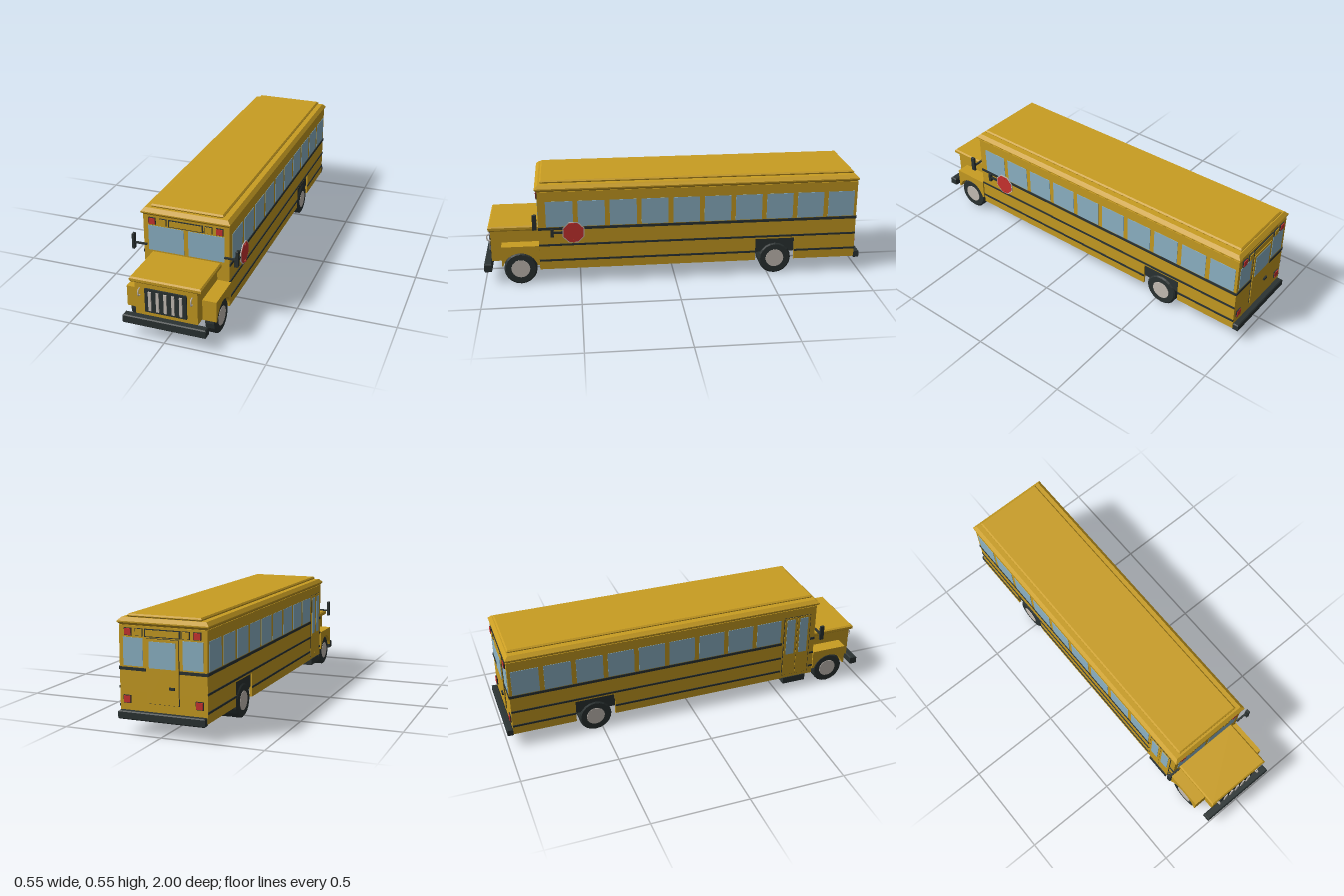
import * as THREE from 'three';

const mat = (name, color) => Object.assign(new THREE.MeshStandardMaterial({ color }), { name });

export function createModel() {
  const yellow = mat('yellow paint', 0xc99d22);
  const dark = mat('charcoal', 0x2b3333);
  const glass = mat('glass', 0x8eb5c8);
  const red = mat('red', 0xcc3330);
  const silver = mat('silver', 0xc9c1b9);

  const bus = new THREE.Group();
  bus.name = 'schoolBus';

  const add = (name, geo, material, parent = bus) => {
    const m = new THREE.Mesh(geo, material);
    m.name = name;
    parent.add(m);
    return m;
  };
  // box from its minimum and maximum on each axis
  const box = (name, material, x0, x1, y0, y1, z0, z1) => add(name,
    new THREE.BoxGeometry(x1 - x0, y1 - y0, z1 - z0)
      .translate((x0 + x1) / 2, (y0 + y1) / 2, (z0 + z1) / 2), material);
  // box whose upper and lower rims are chamfered by b
  const chamferBox = (name, material, x0, x1, y0, y1, z0, z1, b) => {
    const s = new THREE.Shape();
    s.moveTo(x0 + b, -z1 + b).lineTo(x1 - b, -z1 + b).lineTo(x1 - b, -z0 - b).lineTo(x0 + b, -z0 - b).closePath();
    const g = new THREE.ExtrudeGeometry(s, {
      depth: y1 - y0 - 2 * b, bevelEnabled: true, bevelSize: b, bevelThickness: b, bevelSegments: 1,
    });
    return add(name, g.rotateX(-Math.PI / 2).translate(0, y0 + b, 0), material);
  };
  const BACK = -0.97, FRONT = 0.71, W = 0.22;
  const archA = -0.64, archB = -0.43;

  // body shell, split around the rear wheel wells
  box('upperBody', yellow, -W, W, 0.2, 0.505, BACK, FRONT);
  box('lowerBodyFront', yellow, -W, W, 0.13, 0.2, archB, FRONT);
  box('lowerBodyRear', yellow, -W, W, 0.13, 0.2, BACK, archA);
  box('rearWheelWell', dark, -0.212, 0.212, 0.132, 0.2, archA, archB);
  box('floor', dark, -0.208, 0.208, 0.122, 0.131, BACK + 0.01, FRONT - 0.01);
  box('frontSkirt', yellow, -W, W, 0.08, 0.13, FRONT - 0.01, FRONT);
  box('backSkirt', yellow, -W, W, 0.08, 0.13, BACK, BACK + 0.01);

  // roof
  chamferBox('roof', yellow, -0.228, 0.228, 0.5, 0.54, BACK - 0.005, 0.722, 0.017);
  chamferBox('roofCap', yellow, -0.186, 0.186, 0.538, 0.555, -0.955, 0.695, 0.007);

  // hood, grille and bumpers
  box('hood', yellow, -0.157, 0.157, 0.112, 0.29, FRONT, 0.962);
  chamferBox('hoodLid', yellow, -0.18, 0.18, 0.283, 0.31, FRONT - 0.005, 0.972, 0.007);
  box('grille', dark, -0.105, 0.105, 0.135, 0.26, 0.955, 0.97);
  for (let i = -2; i <= 2; i++)
    box('grilleBar', silver, i * 0.039 - 0.007, i * 0.039 + 0.007, 0.147, 0.248, 0.965, 0.976);
  chamferBox('frontBumper', dark, -0.21, 0.21, 0.07, 0.115, 0.96, 1, 0.005);
  chamferBox('rearBumper', dark, -0.218, 0.218, 0.07, 0.11, -1, -0.968, 0.005);

  // entry step under the door
  box('entryStep', dark, -0.225, -0.135, 0.045, 0.082, 0.535, 0.667);
  box('entryStepMount', dark, -0.208, -0.145, 0.08, 0.125, 0.545, 0.657);

  // wheels: single in front, dual at the rear
  const tireProfile = [[0.045, -0.0275], [0.078, -0.0275], [0.086, -0.021], [0.086, 0.021], [0.078, 0.0275], [0.045, 0.0275]]
    .map(([r, y]) => new THREE.Vector2(r, y));
  const wheel = (x, z, side) => {
    const g = new THREE.Group();
    g.name = 'wheel';
    const tire = new THREE.LatheGeometry(tireProfile, 20).toNonIndexed();
    tire.computeVertexNormals();
    add('tire', tire.rotateZ(-Math.PI / 2), dark, g);
    add('hub', new THREE.CylinderGeometry(0.05, 0.05, 0.05, 20).rotateZ(Math.PI / 2), silver, g);
    add('hubCap', new THREE.CylinderGeometry(0.048, 0.05, 0.004, 20).rotateZ(-side * Math.PI / 2)
      .translate(side * 0.027, 0, 0), silver, g);
    g.position.set(side * x, 0.087, z);
    bus.add(g);
  };

  // fender side profile with a round wheel opening
  const fenderShape = new THREE.Shape();
  fenderShape.moveTo(0.71, 0.11).lineTo(0.71, 0.215).lineTo(0.905, 0.215).lineTo(0.905, 0.108);
  const a0 = Math.asin(0.021 / 0.091);
  fenderShape.absarc(0.81, 0.087, 0.091, a0, Math.PI - a0, false);
  const fender = new THREE.ExtrudeGeometry(fenderShape, { depth: 0.078, bevelEnabled: false, curveSegments: 16 })
    .rotateY(-Math.PI / 2);

  // rub rail along one side between two z positions
  const rail = (s, y, h, z0, z1) =>
    box('rubRail', dark, s > 0 ? W - 0.002 : -W - 0.004, s > 0 ? W + 0.004 : -W + 0.002, y - h / 2, y + h / 2, z0, z1);
  // thin plate on a side wall
  const sidePlate = (name, m, s, y0, y1, z0, z1, t = 0.002) =>
    box(name, m, s > 0 ? W - 0.001 : -W - t, s > 0 ? W + t : -W + 0.001, y0, y1, z0, z1);

  for (const s of [-1, 1]) {
    wheel(0.1905, 0.81, s);
    wheel(0.1905, -0.537, s);
    wheel(0.135, -0.537, s);
    add('fender', fender.clone().translate(s > 0 ? 0.228 : -0.15, 0, 0), yellow);

    // skirts
    const xs = s > 0 ? [0.208, W] : [-W, -0.208];
    box('skirt', yellow, ...xs, 0.08, 0.131, archB, FRONT);
    box('skirt', yellow, ...xs, 0.08, 0.131, BACK, archA);

    // side windows; the right-hand side leaves room for the door
    for (let i = s > 0 ? 0 : 1; i < 10; i++) {
      const z = 0.6 - 0.165 * i;
      sidePlate('sideWindow', glass, s, 0.315, 0.453, z - 0.07, z + 0.07);
    }
    const spans = s > 0 ? [[BACK, FRONT]] : [[BACK, 0.515], [0.685, FRONT]];
    for (const [z0, z1] of spans) {
      rail(s, 0.305, 0.014, z0, z1);
      rail(s, 0.215, 0.01, z0, z1);
      rail(s, 0.13, 0.01, Math.max(z0, archB), z1);
    }
    rail(s, 0.13, 0.01, BACK, archA);

    // mirrors
    box('mirrorArm', dark, s > 0 ? 0.2 : -0.265, s > 0 ? 0.265 : -0.2, 0.346, 0.354, 0.718, 0.728);
    chamferBox('mirror', dark, s * 0.267 - 0.006, s * 0.267 + 0.006, 0.318, 0.402, 0.716, 0.738, 0.002);

    // hood latches
    const x = s * 0.132;
    const latch = new THREE.CatmullRomCurve3([[0.217, 0.962], [0.222, 0.98], [0.25, 0.98], [0.255, 0.962]]
      .map(([y, z]) => new THREE.Vector3(x, y, z)));
    add('hoodLatch', new THREE.TubeGeometry(latch, 10, 0.0035, 6), silver);

    // windshield
    box('windshield', glass, s > 0 ? 0.011 : -0.195, s > 0 ? 0.195 : -0.011, 0.317, 0.45, 0.709, 0.712);

    // rear windows, rail and tail lamps
    box('rearWindow', glass, s > 0 ? 0.1 : -0.2, s > 0 ? 0.2 : -0.1, 0.318, 0.45, -0.972, -0.969);
    box('rearRail', dark, s > 0 ? 0.085 : -W, s > 0 ? W : -0.085, 0.297, 0.311, -0.974, -0.969);
    box('tailLampBezel', dark, s * 0.182 - 0.019, s * 0.182 + 0.019, 0.142, 0.18, -0.975, -0.969);
    box('tailLamp', red, s * 0.182 - 0.016, s * 0.182 + 0.016, 0.145, 0.177, -0.978, -0.969);
  }

  // warning lamps and header sign on both ends
  for (const [z, d] of [[FRONT, 1], [BACK, -1]]) {
    const plate = (name, m, x, w, y0, y1, t) =>
      box(name, m, x - w / 2, x + w / 2, y0, y1, Math.min(z - d * 0.002, z + d * t), Math.max(z - d * 0.002, z + d * t));
    for (const s of [-1, 1]) {
      plate('redLampBezel', dark, s * 0.173, 0.037, 0.459, 0.494, 0.006);
      plate('redLamp', red, s * 0.173, 0.032, 0.4615, 0.4915, 0.009);
      plate('amberLampBezel', dark, s * 0.117, 0.037, 0.459, 0.494, 0.006);
      plate('amberLamp', yellow, s * 0.117, 0.033, 0.461, 0.492, 0.009);
    }
    plate('headerSignFrame', dark, 0, 0.178, 0.457, 0.494, 0.005);
    plate('headerSign', yellow, 0, 0.167, 0.461, 0.49, 0.007);
  }

  // rear emergency door
  box('rearDoorSeam', dark, -0.082, 0.082, 0.148, 0.452, -0.972, -0.969);
  box('rearDoor', yellow, -0.08, 0.08, 0.15, 0.45, -0.976, -0.969);
  box('rearDoorWindow', glass, -0.067, 0.067, 0.315, 0.438, -0.978, -0.97);
  box('rearDoorHandle', dark, -0.062, -0.035, 0.222, 0.234, -0.984, -0.97);

  // folding entry door
  sidePlate('doorSeam', dark, -1, 0.1, 0.462, 0.523, 0.679, 0.002);
  for (const z of [0.563, 0.639]) {
    sidePlate('doorLeaf', yellow, -1, 0.102, 0.46, z - 0.037, z + 0.037, 0.004);
    sidePlate('doorGlass', glass, -1, 0.235, 0.448, z - 0.024, z + 0.024, 0.006);
  }

  // stop sign with its hinge arm and lamps
  const octagon = (r, t, x) => new THREE.CylinderGeometry(r, r, t, 8)
    .rotateY(Math.PI / 8).rotateZ(Math.PI / 2).translate(x, 0.285, 0.53);
  add('stopSignRim', octagon(0.061, 0.004, 0.231), silver);
  add('stopSignFace', octagon(0.056, 0.006, 0.231), red);
  box('stopSignHinge', dark, 0.218, 0.236, 0.262, 0.306, 0.632, 0.648);
  box('stopSignArm', dark, 0.224, 0.232, 0.279, 0.291, 0.58, 0.64);
  for (const y of [0.238, 0.328])
    add('stopSignLamp', new THREE.CylinderGeometry(0.007, 0.007, 0.006, 12).rotateZ(Math.PI / 2)
      .translate(0.236, y, 0.53), red);

  return bus;
}
